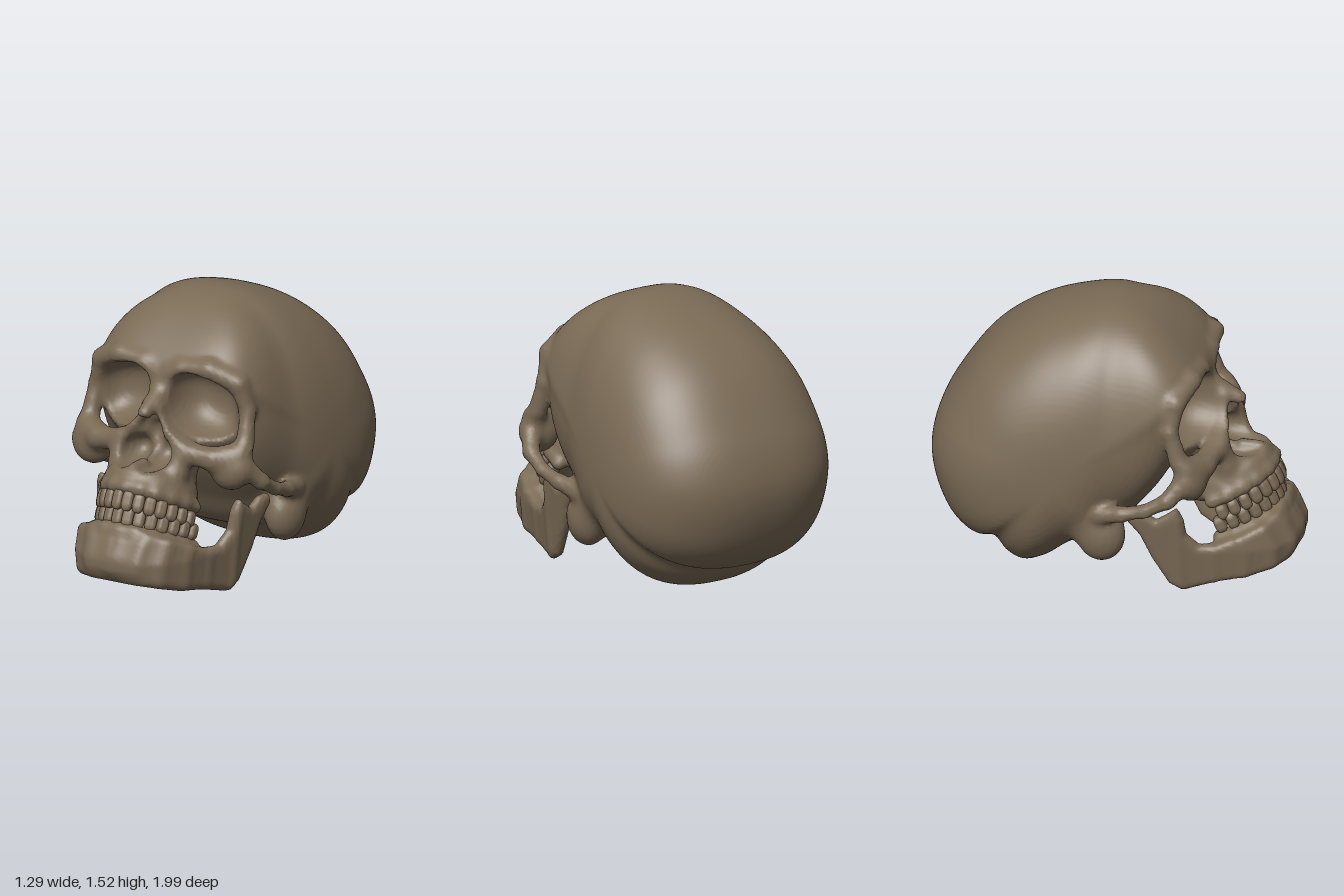
import * as THREE from 'three';
import { RoundedBoxGeometry } from 'three/addons/geometries/RoundedBoxGeometry.js';

// ---- sculpting helpers: signed distances, negative inside ----
const smin = (a, b, k) => {
  const h = Math.max(k - Math.abs(a - b), 0) / k;
  return Math.min(a, b) - h * h * k * 0.25;
};
const smax = (a, b, k) => -smin(-a, -b, k);
const ramp = (a, b, v) => THREE.MathUtils.smoothstep(v, a, b);

function ellipsoid(x, y, z, rx, ry, rz) {
  const a = x / rx, b = y / ry, c = z / rz;
  const k0 = Math.sqrt(a * a + b * b + c * c);
  const k1 = Math.sqrt((a / rx) ** 2 + (b / ry) ** 2 + (c / rz) ** 2) + 1e-6;
  return k0 * (k0 - 1) / k1;
}

// rounded bone strand through points [x, y, z, radius]
function strand(pts, x, y, z) {
  let d = 9;
  for (let i = 0; i + 1 < pts.length; i++) {
    const a = pts[i], b = pts[i + 1];
    const bx = b[0] - a[0], by = b[1] - a[1], bz = b[2] - a[2];
    const px = x - a[0], py = y - a[1], pz = z - a[2];
    const t = Math.min(1, Math.max(0, (px * bx + py * by + pz * bz) / (bx * bx + by * by + bz * bz)));
    const ex = px - t * bx, ey = py - t * by, ez = pz - t * bz;
    d = smin(d, Math.sqrt(ex * ex + ey * ey + ez * ez) - a[3] - t * (b[3] - a[3]), 0.02);
  }
  return d;
}

// signed distance to a closed 2D outline
function outline(pts, px, py) {
  let d = 9, inside = false;
  for (let i = 0, j = pts.length - 1; i < pts.length; j = i++) {
    const [ax, ay] = pts[i], [bx, by] = pts[j];
    const ex = bx - ax, ey = by - ay, wx = px - ax, wy = py - ay;
    const t = Math.min(1, Math.max(0, (wx * ex + wy * ey) / (ex * ex + ey * ey)));
    d = Math.min(d, (wx - t * ex) ** 2 + (wy - t * ey) ** 2);
    if ((ay > py) !== (by > py) && px < ax + ex * (py - ay) / ey) inside = !inside;
  }
  return inside ? -Math.sqrt(d) : Math.sqrt(d);
}

// skin a field with quads, one vertex per crossed cell
function sculpt(field, lo, hi, cell) {
  const n = lo.map((v, i) => Math.ceil((hi[i] - v) / cell) + 1);
  const st = [1, n[0], n[0] * n[1]];
  const val = new Float32Array(n[0] * n[1] * n[2]);
  const vert = new Int32Array(val.length).fill(-1);
  const pos = [], index = [];
  const each = (from, trim, fn) => {
    for (let k = from; k < n[2] - trim; k++)
      for (let j = from; j < n[1] - trim; j++)
        for (let i = from; i < n[0] - trim; i++) fn(i + j * st[1] + k * st[2], i, j, k);
  };
  each(0, 0, (p, i, j, k) => { val[p] = field(lo[0] + i * cell, lo[1] + j * cell, lo[2] + k * cell); });
  each(0, 1, (p, i, j, k) => {
    const sum = [0, 0, 0];
    let count = 0;
    for (let c = 0; c < 8; c++) {
      const o = [c & 1, (c >> 1) & 1, c >> 2];
      const q = p + o[0] + o[1] * st[1] + o[2] * st[2];
      for (let a = 0; a < 3; a++) {
        if (o[a]) continue;
        const v0 = val[q], v1 = val[q + st[a]];
        if ((v0 < 0) === (v1 < 0)) continue;
        for (let m = 0; m < 3; m++) sum[m] += o[m] + (m === a ? v0 / (v0 - v1) : 0);
        count++;
      }
    }
    if (!count) return;
    vert[p] = pos.length / 3;
    [i, j, k].forEach((g, m) => pos.push(lo[m] + (g + sum[m] / count) * cell));
  });
  each(1, 1, (p) => {
    for (let a = 0; a < 3; a++) {
      const in0 = val[p] < 0;
      if (in0 === (val[p + st[a]] < 0)) continue;
      const b = st[(a + 1) % 3], c = st[(a + 2) % 3];
      const q = [vert[p], vert[p - b], vert[p - b - c], vert[p - c]];
      if (!in0) q.reverse();
      index.push(q[0], q[1], q[2], q[0], q[2], q[3]);
    }
  });
  const g = new THREE.BufferGeometry();
  g.setAttribute('position', new THREE.Float32BufferAttribute(pos, 3));
  g.setIndex(index);
  g.computeVertexNormals();
  return g;
}

// ---- braincase: side profile [z, y] as radius by angle about a centre ----
const CZ = -0.25, CY = 0.7, BINS = 720;
const profile = [[0.47, 1.22], [0.42, 1.29], [0.3, 1.4], [0.15, 1.49], [-0.03, 1.53], [-0.27, 1.48], [-0.5, 1.38],
  [-0.72, 1.21], [-0.9, 0.95], [-0.97, 0.8], [-1, 0.63], [-0.97, 0.45], [-0.88, 0.26], [-0.76, 0.16], [-0.65, 0.155],
  [-0.57, 0.06], [-0.47, 0.01], [-0.34, 0.05], [-0.2, 0.15], [0.04, 0.25], [0.16, 0.42], [0.27, 0.58], [0.36, 0.75],
  [0.42, 0.92], [0.45, 1.1]];
const radius = new Float32Array(BINS + 1);
new THREE.CatmullRomCurve3(profile.map(([z, y]) => new THREE.Vector3(z - CZ, y - CY, 0)), true)
  .getPoints(8000).forEach((p) => {
    const t = (Math.atan2(p.y, p.x) / (2 * Math.PI) + 1) % 1;
    radius[Math.floor(t * BINS)] = Math.hypot(p.x, p.y);
  });
radius[BINS] = radius[0];

function braincase(x, y, z) {
  const dz = z - CZ, dy = y - CY;
  const t = ((Math.atan2(dy, dz) / (2 * Math.PI) + 1) % 1) * BINS, i = Math.floor(t);
  const s = Math.sqrt(dz * dz + dy * dy) / (radius[i] + (radius[i + 1] - radius[i]) * (t - i));
  const w = (0.61 - 0.1 * z) * (1 - 0.06 * dy);
  const p = 2.4 + 1.6 * ramp(0, 0.4, z);
  return (Math.pow(Math.pow(s, p) + Math.pow(x / w, p), 1 / p) - 1) * 0.6;
}

// ---- tooth rows: half ellipses that rise toward the front ----
const rows = [
  { name: 'upper', curve: new THREE.EllipseCurve(0, 0.57, 0.25, 0.28, 0, Math.PI), y: 0.565, slope: 0.53, gum: 0.065 },
  { name: 'lower', curve: new THREE.EllipseCurve(0, 0.56, 0.262, 0.29, 0, Math.PI), y: 0.47, slope: 0.42, gum: -0.065 },
];
const onRow = (r, u) => {
  const p = r.curve.getPointAt(u);
  return [p.x, r.y - (0.855 - p.y) * r.slope, p.y];
};
const gums = rows.map((r) => [0, 0.1, 0.2, 0.3, 0.4, 0.5].map((u) => {
  const [x, y, z] = onRow(r, u);
  return [x, y + r.gum, z - r.gum * 0.45, 0.036];
}));

// ---- face strands on the left half, mirrored by |x| ----
const brow = [[0, 1.14, 0.44, 0.05], [0.12, 1.19, 0.45, 0.045], [0.28, 1.215, 0.44, 0.045], [0.43, 1.15, 0.39, 0.045],
  [0.475, 1, 0.365, 0.04], [0.485, 0.84, 0.41, 0.05]];
const lowerRim = [[0.48, 0.79, 0.45, 0.06], [0.36, 0.76, 0.52, 0.065], [0.22, 0.78, 0.55, 0.06], [0.12, 0.89, 0.565, 0.04],
  [0.05, 1, 0.55, 0.035]];
const noseSide = [[0.18, 0.8, 0.56, 0.055], [0.18, 0.68, 0.6, 0.06]];
const nasalBone = [[0, 1.09, 0.45, 0.04], [0, 0.985, 0.635, 0.04]];
const nasalSpine = [[0, 0.7, 0.66, 0.04], [0, 0.73, 0.75, 0.012]];
const cheekArch = [[0.5, 0.72, 0.45, 0.06], [0.56, 0.63, 0.37, 0.042], [0.572, 0.56, 0.25, 0.034], [0.56, 0.52, 0.12, 0.04],
  [0.52, 0.49, 0, 0.06]];

function skullField(sx, y, z) {
  const x = Math.abs(sx);
  let d = braincase(x, y, z);
  d = smin(d, ellipsoid(x - 0.47, y - 0.34, z + 0.01, 0.1, 0.15, 0.13), 0.08); // bump behind the ear
  if (z > -0.2) {
    d = smin(d, ellipsoid(x, y - 0.95, z - 0.33, 0.42, 0.3, 0.2), 0.05);
    d = smin(d, ellipsoid(x, y - 0.68, z - 0.5, 0.22, 0.2, 0.2), 0.05);
    // upper jaw, tilted with the tooth row
    const jy = y - 0.56, jz = z - 0.57, u = jy * 0.5 + jz * 0.87, v = jy * 0.87 - jz * 0.5;
    d = smin(d, ellipsoid(x, v, u, 0.25, 0.13, 0.27), 0.06);
    d = smin(d, ellipsoid(x - 0.43, y - 0.7, z - 0.47, 0.115, 0.11, 0.085), 0.05);
    for (const s of [brow, lowerRim, noseSide, nasalBone, gums[0]]) d = smin(d, strand(s, x, y, z), 0.04);
    d = smin(d, strand(cheekArch, x, y, z), 0.03);
    // palate, eye sockets and nose opening
    d = smax(d, -ellipsoid(x, v + 0.12, u - 0.01, 0.18, 0.1, 0.2), 0.03);
    const ey = y - 1.01 + 0.22 * (x - 0.25);
    const e = Math.pow(Math.abs((x - 0.252) / 0.19), 2.5) + Math.pow(Math.abs(ey / 0.172), 2.5)
      + Math.pow(Math.abs((z - 0.53) / 0.25), 2.5);
    d = smax(d, (1 - Math.pow(e, 0.4)) * 0.18, 0.025);
    const nose = smin(ellipsoid(x - 0.075, y - 0.765, z - 0.65, 0.08, 0.08, 0.17),
      ellipsoid(x, y - 0.85, z - 0.66, 0.075, 0.115, 0.18), 0.04);
    d = smax(d, -nose, 0.02);
    d = smin(d, strand(nasalSpine, x, y, z), 0.02);
  }
  return d;
}

// ---- lower jaw: side outline [z, y] wrapped along a plan curve ----
const jawSide = [[0.89, 0.42], [0.95, 0.37], [1, 0.29], [1, 0.2], [0.94, 0.13], [0.75, 0.075], [0.6, 0.05], [0.42, 0],
  [0.34, 0.04], [0.25, 0.2], [0.19, 0.34], [0.12, 0.43], [0.14, 0.49], [0.21, 0.49], [0.28, 0.44], [0.34, 0.48],
  [0.39, 0.52], [0.425, 0.45], [0.44, 0.35], [0.5, 0.28], [0.58, 0.28], [0.75, 0.35]];
const jawPlan = [[-0.12, 0.92], [0, 0.94], [0.12, 0.92], [0.22, 0.845], [0.285, 0.72], [0.335, 0.57], [0.39, 0.4], [0.425, 0.05]]
  .map(([x, z]) => [x, 0, z, 0]);

function jawField(sx, y, z) {
  const x = Math.abs(sx);
  const lean = 0.45 * Math.max(0, y - 0.25) * ramp(0.45, 0.7, z);
  const wall = strand(jawPlan, x - 0.1 * (y - 0.15), 0, z + lean) - 0.032 - 0.026 * ramp(0.4, 0.85, z);
  const d = smax(outline(jawSide, z, y), wall, 0.045);
  return smin(d, strand(gums[1], x, y, z), 0.04);
}

export function createModel() {
  const bone = new THREE.MeshStandardMaterial({ color: 0x7a6a55 });
  bone.name = 'bone brown';
  const model = new THREE.Group();
  model.name = 'skull';
  const add = (parent, name, geometry) => {
    const mesh = new THREE.Mesh(geometry, bone);
    mesh.name = name;
    parent.add(mesh);
    return mesh;
  };
  add(model, 'cranium', sculpt(skullField, [-0.72, -0.04, -1.05], [0.72, 1.58, 0.92], 0.017));
  add(model, 'lowerJaw', sculpt(jawField, [-0.53, -0.04, 0.06], [0.53, 0.56, 1.04], 0.013));

  // fourteen teeth per row, broader and shorter toward the back
  const crown = new RoundedBoxGeometry(1, 1, 1, 2, 0.36);
  for (const row of rows) {
    const group = new THREE.Group();
    group.name = row.name + 'Teeth';
    for (let i = 0; i < 14; i++) {
      const u = (i + 0.5) / 14, back = Math.abs(u - 0.5) * 2;
      const tooth = add(group, 'tooth', crown);
      tooth.position.set(...onRow(row, u));
      const t = row.curve.getTangentAt(u);
      tooth.rotation.set(-0.42, Math.atan2(-t.y, t.x), 0);
      tooth.scale.set(0.062, 0.115 - 0.025 * back, 0.05 + 0.025 * back);
    }
    model.add(group);
  }
  return model;
}
